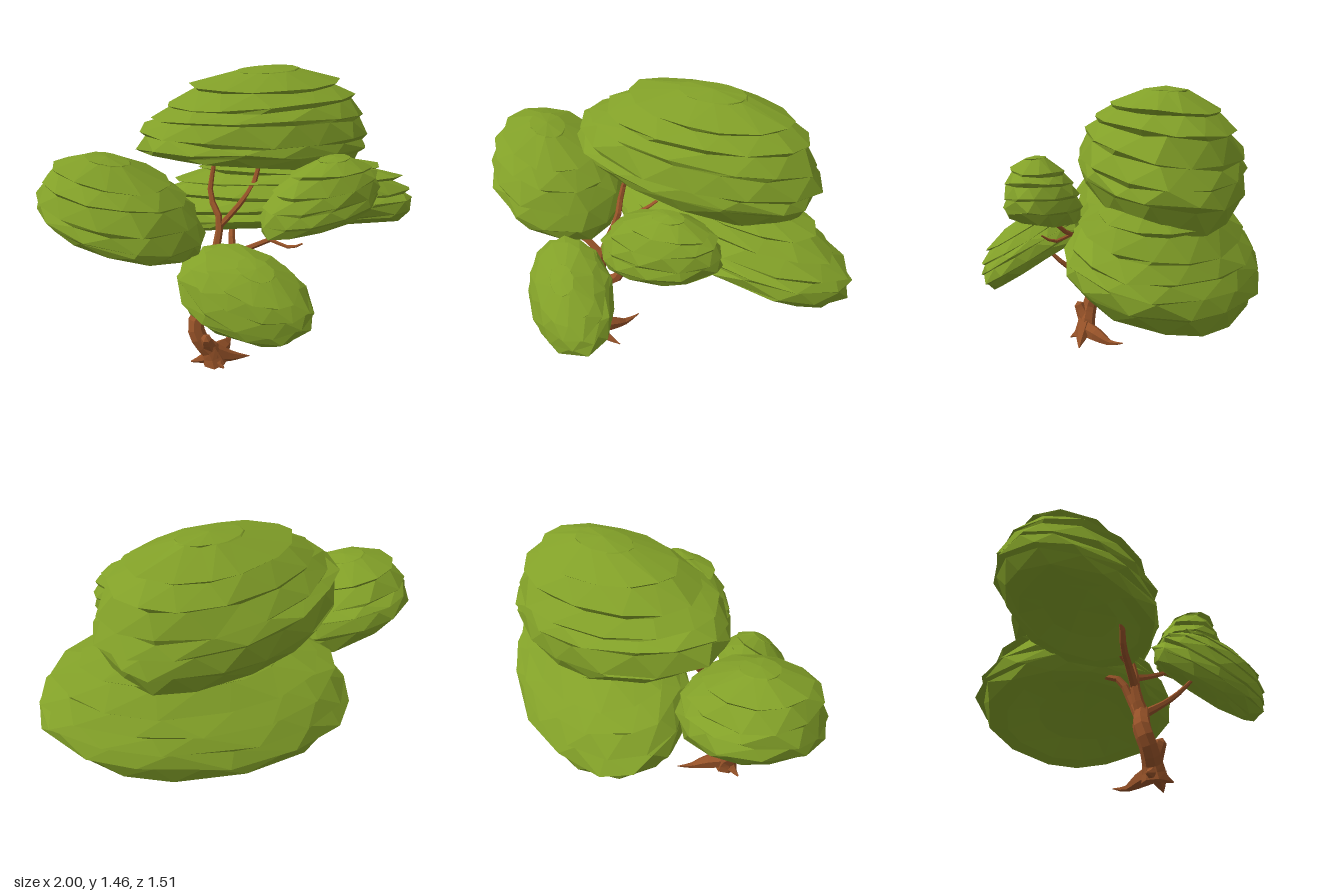
import * as THREE from 'three';

const leafMat = new THREE.MeshStandardMaterial({ color: 0x82a028, flatShading: true });
const barkMat = new THREE.MeshStandardMaterial({ color: 0x965228, flatShading: true });

// Small seeded generator returning values in -1..1
function seeded(seed) {
  let s = seed * 7919 + 17;
  return () => {
    s = (s * 16807) % 2147483647;
    return (s / 2147483647) * 2 - 1;
  };
}

// Side profile of a pad: slightly tucked in at the rim, rounded over the crown
function dome(h) {
  if (h < 0.2) return 0.88 + 0.12 * Math.sin(h / 0.2 * Math.PI / 2);
  return Math.sqrt(1 - Math.pow((h - 0.2) / 0.8, 1.8));
}

// Pad of overlapping leaf shelves with a shallow hollow below, sized to its box.
// The shelves slope along x and z; the slope fades and the centre shifts towards the crown.
function foliage({ name, min, max, slope, fade, yaw, size, crown, layers, sides, seed }) {
  const rnd = seeded(seed);
  const [rx, height, rz] = size;

  // Rings as [radius, height, shelf, lip] from the hollow up to the crown
  const rings = [[0, 0.14, 0, 0], [0.45, 0.11, 0, 0], [0.75, 0.03, 0, 0]];
  for (let k = 0; k < layers; k++) {
    const h0 = 0.96 * k / layers, h1 = 0.96 * (k + 1) / layers;
    rings.push([dome(h0), h0, k, 1], [dome(h1), h1, k + 1, -1]);
  }
  rings.push([dome(0.96) * 0.9, 0.97, layers, 0], [0, 1, layers, 0]);

  // Each shelf edge leans its own way, and its lip swells and fades around the pad
  const shelves = Array.from({ length: layers + 1 }, () => [rnd() * 3.1, rnd() * 3.1]);
  const pos = [], index = [];
  rings.forEach(([r, h, shelf, lip], i) => {
    const [lean, swell] = shelves[shelf];
    for (let j = 0; j < sides; j++) {
      const a = ((j + (r ? rnd() * 0.2 : 0)) / sides) * Math.PI * 2 + shelf * 0.23;
      const step = lip * (0.7 + 0.3 * Math.sin(2 * a + swell));
      const rr = r * (1 + rnd() * 0.025) + 0.032 * step;
      const hh = h + 0.05 * Math.max(0, step) + r * 0.04 * Math.sin(a + lean) + r * rnd() * 0.018;
      const u = Math.cos(a) * rr * rx, w = Math.sin(a) * rr * rz;
      const x = u * Math.cos(yaw) + w * Math.sin(yaw);
      const z = w * Math.cos(yaw) - u * Math.sin(yaw);
      const tilt = (slope[0] * x + slope[1] * z) * (1 - fade * h);
      pos.push(x + crown[0] * h, hh * height + tilt, z + crown[1] * h);
      if (i < rings.length - 1) {
        const k = (j + 1) % sides, n = i * sides, m = n + sides;
        index.push(n + j, m + j, n + k, n + k, m + j, m + k);
      }
    }
  });
  const geo = new THREE.BufferGeometry();
  geo.setAttribute('position', new THREE.Float32BufferAttribute(pos, 3));
  geo.setIndex(index);

  // Size to the box
  geo.computeBoundingBox();
  const lo = geo.boundingBox.min, span = geo.boundingBox.getSize(new THREE.Vector3());
  geo.translate(-lo.x, -lo.y, -lo.z);
  geo.scale((max[0] - min[0]) / span.x, (max[1] - min[1]) / span.y, (max[2] - min[2]) / span.z);
  geo.translate(...min);
  geo.computeVertexNormals();
  const mesh = new THREE.Mesh(geo, leafMat);
  mesh.name = name;
  return mesh;
}

// Tapered limb through points given as [x, y, z, radius]
function limb(name, pts, sides = 6) {
  const path = new THREE.CatmullRomCurve3(pts.map(p => new THREE.Vector3(p[0], p[1], p[2])));
  const steps = (pts.length - 1) * 2;
  const geo = new THREE.TubeGeometry(path, steps, 1, sides);
  const pos = geo.attributes.position, v = new THREE.Vector3();
  for (let i = 0; i <= steps; i++) {
    const u = i / steps, c = path.getPointAt(u);
    const t = path.getUtoTmapping(u) * (pts.length - 1);
    const k = Math.min(pts.length - 2, Math.floor(t));
    const r = THREE.MathUtils.lerp(pts[k][3], pts[k + 1][3], t - k);
    for (let j = 0; j <= sides; j++) {
      const n = i * (sides + 1) + j;
      v.fromBufferAttribute(pos, n).sub(c).multiplyScalar(r).add(c);
      pos.setXYZ(n, v.x, Math.max(0, v.y), v.z);
    }
  }
  geo.computeVertexNormals();
  const mesh = new THREE.Mesh(geo, barkMat);
  mesh.name = name;
  return mesh;
}

export function createModel() {
  const tree = new THREE.Group();
  tree.name = 'tree';

  // Foliage pads
  const pads = [
    { name: 'topFoliage', min: [-0.52, 0.82, -0.71], max: [0.72, 1.455, 0.23], slope: [-0.05, 0.22], fade: 1.2,
      yaw: 0.46, size: [0.66, 0.52, 0.42], crown: [0.08, -0.06], layers: 6, sides: 14, seed: 3 },
    { name: 'backFoliage', min: [-0.52, 0.385, -0.76], max: [1, 0.97, 0.1], slope: [0.05, 0.32], fade: 0.5,
      yaw: 0.05, size: [0.76, 0.45, 0.43], crown: [0.08, 0], layers: 6, sides: 14, seed: 8 },
    { name: 'rightFoliage', min: [-1, 0.59, -0.17], max: [-0.15, 1.1, 0.525], slope: [-0.2, -0.03], fade: 0.4,
      yaw: -0.12, size: [0.43, 0.42, 0.35], crown: [-0.08, 0], layers: 5, sides: 12, seed: 5 },
    { name: 'leftFoliage', min: [0.12, 0.75, 0.05], max: [0.715, 1.13, 0.47], slope: [0.12, 0], fade: 0.6,
      yaw: 0.37, size: [0.3, 0.34, 0.18], crown: [0.08, 0], layers: 5, sides: 11, seed: 11 },
    { name: 'frontFoliage', min: [-0.27, 0.34, 0.315], max: [0.385, 0.755, 0.755], slope: [-0.15, -0.75], fade: 0,
      yaw: -0.25, size: [0.32, 0.3, 0.19], crown: [0.07, 0.1], layers: 5, sides: 11, seed: 14 },
  ];
  pads.forEach(p => tree.add(foliage(p)));

  // Bent trunk with a cut stub
  tree.add(limb('trunk', [
    [-0.1, 0, 0.31, 0.07], [-0.12, 0.07, 0.31, 0.052], [-0.18, 0.15, 0.32, 0.045],
    [-0.2, 0.23, 0.3, 0.045], [-0.14, 0.31, 0.26, 0.042], [-0.09, 0.37, 0.24, 0.035],
  ], 7));
  tree.add(limb('stub', [[-0.13, 0.1, 0.32, 0.04], [-0.14, 0.15, 0.35, 0.032], [-0.14, 0.19, 0.37, 0.024], [-0.14, 0.195, 0.372, 0.001]]));

  // Surface roots
  const roots = [
    [[-0.1, 0.05, 0.3, 0.05], [-0.06, 0.035, 0.2, 0.04], [-0.04, 0.015, 0.12, 0.018], [-0.03, 0.03, 0.03, 0.002]],
    [[-0.1, 0.06, 0.31, 0.05], [-0.03, 0.03, 0.29, 0.032], [0.03, 0.015, 0.27, 0.015], [0.08, 0.005, 0.25, 0.002]],
    [[-0.12, 0.05, 0.31, 0.04], [-0.17, 0.025, 0.32, 0.022], [-0.225, 0.015, 0.33, 0.004]],
    [[-0.1, 0.05, 0.31, 0.04], [-0.08, 0.02, 0.345, 0.025], [-0.05, 0.005, 0.375, 0.003]],
  ];
  roots.forEach(r => tree.add(limb('root', r)));

  // Branches reaching into each pad
  const branches = {
    topBranch: [[-0.1, 0.34, 0.25, 0.035], [-0.115, 0.45, 0.22, 0.026], [-0.1, 0.58, 0.2, 0.022], [-0.08, 0.74, 0.13, 0.018],
      [-0.13, 0.85, 0.06, 0.015], [-0.11, 1.02, 0, 0.01]],
    topTwig: [[-0.09, 0.7, 0.15, 0.016], [0.02, 0.8, 0.06, 0.015], [0.1, 0.9, -0.04, 0.014], [0.13, 1.04, -0.1, 0.008]],
    backBranch: [[-0.12, 0.33, 0.25, 0.035], [-0.03, 0.39, 0.18, 0.028], [-0.01, 0.48, 0.13, 0.023], [-0.02, 0.6, 0.07, 0.019],
      [-0.02, 0.65, -0.04, 0.015], [0, 0.74, -0.16, 0.009]],
    rightBranch: [[-0.11, 0.5, 0.21, 0.024], [-0.22, 0.57, 0.24, 0.02], [-0.35, 0.6, 0.29, 0.017], [-0.41, 0.67, 0.32, 0.013], [-0.46, 0.76, 0.32, 0.008]],
    rightTwig: [[-0.21, 0.565, 0.24, 0.014], [-0.28, 0.65, 0.2, 0.012], [-0.36, 0.75, 0.18, 0.007]],
    leftBranch: [[-0.1, 0.55, 0.2, 0.02], [0.02, 0.6, 0.21, 0.015], [0.16, 0.67, 0.23, 0.013], [0.28, 0.74, 0.25, 0.011], [0.36, 0.87, 0.26, 0.006]],
    leftTwig: [[0.18, 0.68, 0.235, 0.011], [0.28, 0.66, 0.28, 0.009], [0.34, 0.7, 0.32, 0.004]],
    frontBranch: [[-0.1, 0.35, 0.25, 0.024], [-0.03, 0.41, 0.32, 0.016], [0.02, 0.47, 0.38, 0.013], [0.05, 0.55, 0.46, 0.008]],
  };
  for (const [name, pts] of Object.entries(branches)) tree.add(limb(name, pts));

  return tree;
}
